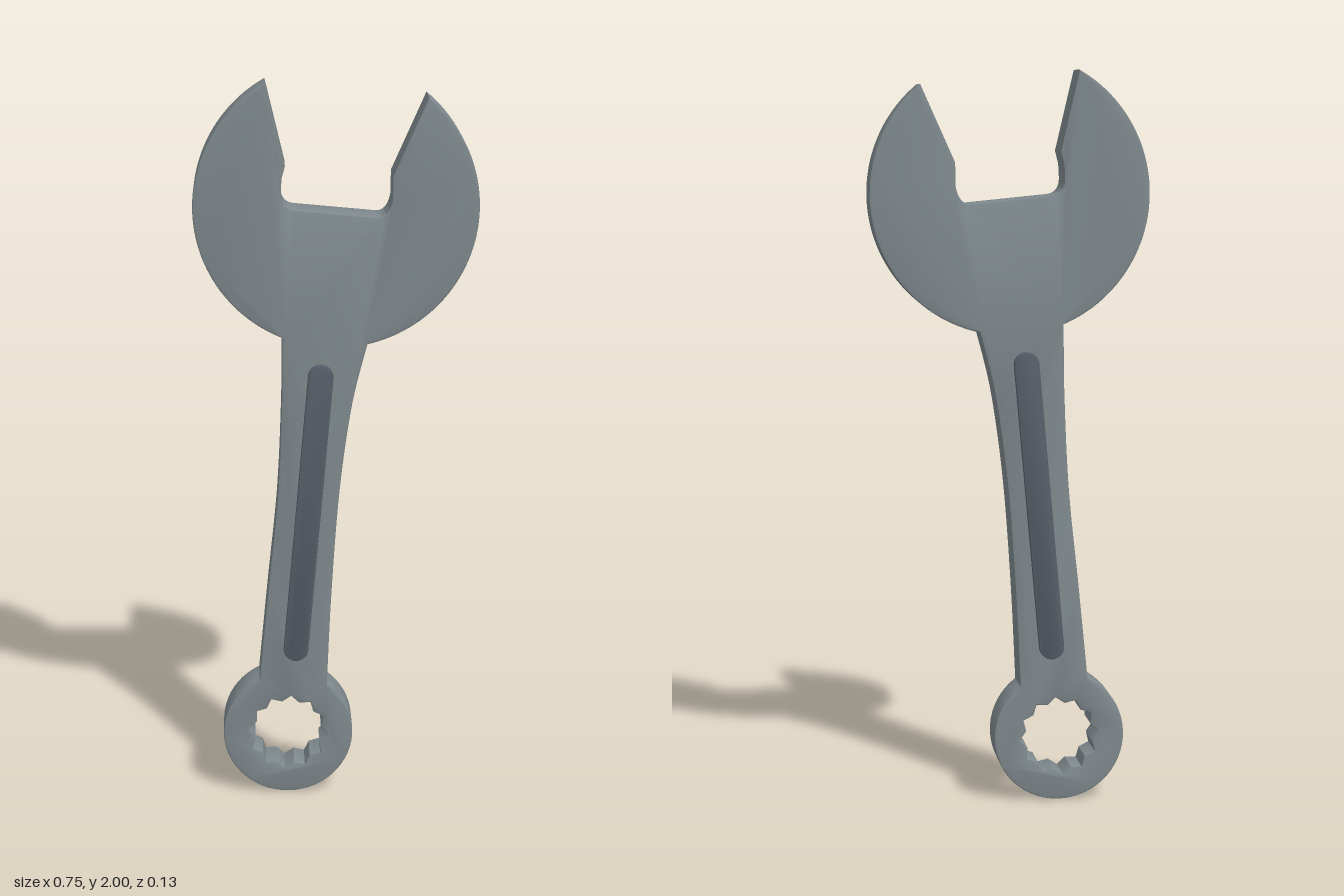
import * as THREE from 'three';
import { toCreasedNormals } from 'three/addons/utils/BufferGeometryUtils.js';

const TILT = THREE.MathUtils.degToRad(-5); // lean of the handle, jaw and socket
const HEAD = { x: 0, y: 1.667, r: 0.377 };
const RING = { x: -0.135, y: 0.18, r: 0.18 };

const v = (x, y) => new THREE.Vector2(x, y);
const angleTo = (c, x, y) => Math.atan2(y - c.y, x - c.x);
const arc = (path, c, a0, a1) => path.absarc(c.x, c.y, c.r, a0, a1, false);

// Extrude a shape centred on z = 0, with the bevel kept inside the outline
function slab(name, shape, depth, bevel, color) {
  const geometry = new THREE.ExtrudeGeometry(shape, {
    depth: depth - 2 * bevel, curveSegments: 24,
    bevelThickness: bevel, bevelSize: bevel, bevelOffset: -bevel, bevelSegments: 2,
  });
  geometry.translate(0, 0, bevel - depth / 2);
  const mesh = new THREE.Mesh(toCreasedNormals(geometry, 0.5), new THREE.MeshStandardMaterial({ color }));
  mesh.name = name;
  return mesh;
}

// Outline of head, handle and ring end, anticlockwise from the left jaw tip
function bodyShape() {
  const s = new THREE.Shape();
  arc(s, HEAD, angleTo(HEAD, -0.187, 2.0), angleTo(HEAD, -0.148, 1.31) + 2 * Math.PI);
  s.splineThru([v(-0.147, 1.13), v(-0.16, 0.87), v(-0.188, 0.6), v(-0.214, 0.342)]);
  arc(s, RING, angleTo(RING, -0.214, 0.342), angleTo(RING, -0.026, 0.324) + 2 * Math.PI);
  s.splineThru([v(-0.013, 0.6), v(0.009, 0.89), v(0.042, 1.13), v(0.083, 1.299)]);
  arc(s, HEAD, angleTo(HEAD, 0.083, 1.299), angleTo(HEAD, 0.242, 1.96));
  // Jaw opening with rounded inner corners
  s.lineTo(0.148, 1.752);
  s.lineTo(0.147, 1.69);
  s.quadraticCurveTo(0.138, 1.64, 0.106, 1.643);
  s.lineTo(-0.11, 1.664);
  s.quadraticCurveTo(-0.146, 1.668, -0.145, 1.71);
  s.lineTo(-0.143, 1.745);
  s.lineTo(-0.134, 1.78);
  s.closePath();

  // Twelve-point socket hole
  const hole = [];
  for (let i = 0; i < 24; i++) {
    const a = TILT - (i * Math.PI) / 12;
    const r = i % 2 ? 0.093 : 0.109;
    hole.push(v(RING.x + r * Math.cos(a), RING.y + r * Math.sin(a)));
  }
  s.holes.push(new THREE.Path(hole));
  return s;
}

// Long pad with round ends, following the handle
function padShape() {
  const r = 0.034;
  const top = { x: -0.042, y: 1.212, r };
  const bottom = { x: -0.112, y: 0.434, r };
  const s = new THREE.Shape();
  arc(s, top, TILT, TILT + Math.PI);
  arc(s, bottom, TILT + Math.PI, TILT + 2 * Math.PI);
  s.closePath();
  return s;
}

export function createModel() {
  const group = new THREE.Group();
  group.name = 'wrench';
  group.add(slab('body', bodyShape(), 0.104, 0.005, 0x7f898d));
  // Passes through the handle and stands proud on both faces
  group.add(slab('handlePads', padShape(), 0.134, 0.003, 0x575f69));
  return group;
}
